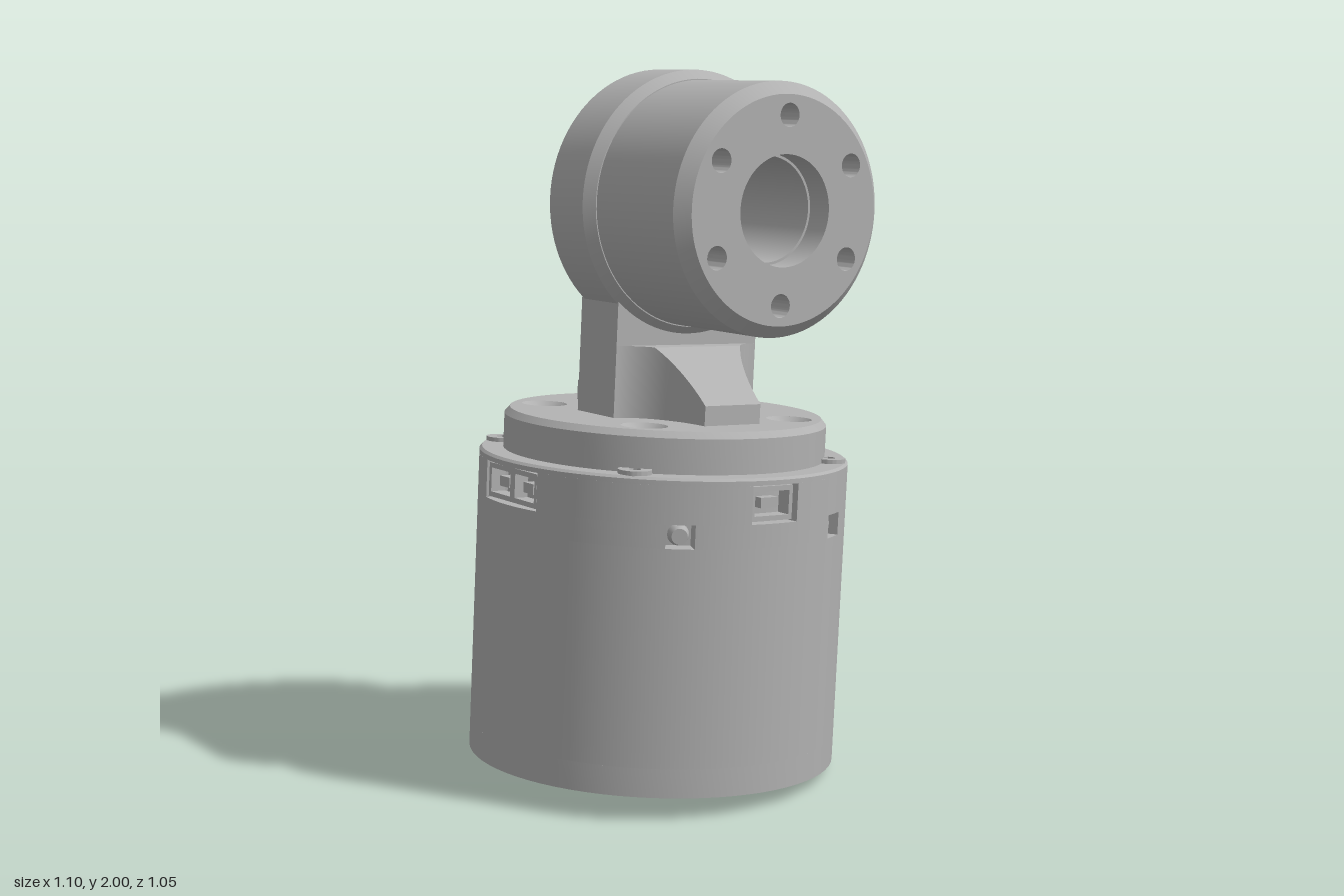
import * as THREE from 'three';
import { toCreasedNormals } from 'three/addons/utils/BufferGeometryUtils.js';

const steel = new THREE.MeshStandardMaterial({ color: 0xb2b2b2 });
steel.name = 'plain grey';
const RAD = Math.PI / 180;

function add(parent, name, geometry, x = 0, y = 0, z = 0) {
  const m = new THREE.Mesh(geometry, steel);
  m.name = name;
  m.position.set(x, y, z);
  parent.add(m);
  return m;
}

// Turned surface; the profile runs up the outside, or down the inside of a hole
function turned(points, segments = 72) {
  const g = new THREE.LatheGeometry(points.map(p => new THREE.Vector2(p[0], p[1])), segments);
  return toCreasedNormals(g, 0.5);
}

function circle(r, x = 0, y = 0) {
  const p = new THREE.Path();
  p.absarc(x, y, r, 0, Math.PI * 2, true);
  return p;
}

const polar = (r, deg) => [r * Math.cos(deg * RAD), r * Math.sin(deg * RAD)];

// Sector of a ring, angles in degrees
function sector(Type, r0, r1, a0, a1) {
  const s = new Type();
  s.absarc(0, 0, r1, a0 * RAD, a1 * RAD, false);
  s.absarc(0, 0, r0, a1 * RAD, a0 * RAD, true);
  s.closePath();
  return s;
}

function extruded(shape, depth, curveSegments = 36) {
  return toCreasedNormals(new THREE.ExtrudeGeometry(shape, { depth, bevelEnabled: false, curveSegments }), 0.5);
}

// Round plate with holes, lying in xy and extruded along +z
function plate(r, holes, depth) {
  const s = new THREE.Shape();
  s.absarc(0, 0, r, 0, Math.PI * 2, false);
  s.holes.push(...holes);
  return extruded(s, depth);
}

// Turns an extrusion so that it hangs down from y = 0
const hang = g => g.rotateX(Math.PI / 2);

// Ring band hanging below yTop, broken by gaps of [centre, half width] degrees
function brokenBand(parent, name, yTop, height, r0, r1, gaps) {
  const sorted = [...gaps].sort((a, b) => a[0] - b[0]);
  sorted.forEach(([c, h], i) => {
    const next = i + 1 < sorted.length ? sorted[i + 1] : [sorted[0][0] + 360, sorted[0][1]];
    add(parent, name, hang(extruded(sector(THREE.Shape, r0, r1, c + h, next[0] - next[1]), height)), 0, yTop, 0);
  });
}

// Socket facing outward at an angle around the body
function connector(parent, deg, w, h, y, cells) {
  const g = new THREE.Group();
  g.name = 'connector';
  const s = new THREE.Shape([[-w, -h], [w, -h], [w, h], [-w, h]].map(p => new THREE.Vector2(p[0] / 2, p[1] / 2)));
  const cw = w / cells;
  for (let i = 0; i < cells; i++) {
    const c = -w / 2 + cw * (i + 0.5), a = cw / 2 - 0.012, b = h / 2 - 0.014;
    s.holes.push(new THREE.Path([[-a, -b], [-a, b], [a, b], [a, -b]].map(p => new THREE.Vector2(c + p[0], p[1]))));
    add(g, 'contactBlock', new THREE.BoxGeometry(cw * 0.4, h * 0.3, 0.035), c, 0, 0.015);
  }
  add(g, 'socketFrame', extruded(s, 0.045));
  const [x, z] = polar(0.462, deg);
  g.position.set(x, y, z);
  g.rotation.y = (90 - deg) * RAD;
  parent.add(g);
}

// Gusset built from sections along z: narrow at the tip, flaring into the post
function gussetGeometry() {
  const y0 = 0.98, rows = [], pos = [];
  const n = 16;
  for (let i = 0; i <= n; i++) {
    const t = (i / n) * Math.PI / 2;
    const z = 0.315 - 0.225 * Math.sin(t);
    const w = 0.242 - 0.147 * Math.cos(t);
    const h = Math.min(1.185, 1.04 + (0.315 - z) * 0.83);
    rows.push([[-w, y0, z], [w, y0, z], [w, h, z], [-w, h, z]]);
  }
  const quad = (a, b, c, d) => pos.push(...a, ...b, ...c, ...a, ...c, ...d);
  quad(...rows[0]);
  for (let i = 0; i < n; i++) {
    const f = rows[i], b = rows[i + 1];
    for (let k = 1; k < 4; k++) {
      const j = (k + 1) % 4;
      quad(f[k], b[k], b[j], f[j]);
    }
  }
  const g = new THREE.BufferGeometry();
  g.setAttribute('position', new THREE.Float32BufferAttribute(pos, 3));
  g.computeVertexNormals();
  return toCreasedNormals(g, 0.4);
}

function buildBody(root) {
  const body = new THREE.Group();
  body.name = 'motorBody';
  root.add(body);

  // Bottom rim with screw holes, and main drum
  const rim = [-8, 8, 60, 120, 172, 188, 240, 300].map(a => circle(0.016, ...polar(0.462, a)));
  add(body, 'bottomRim', hang(plate(0.527, [circle(0.3), ...rim], 0.08)), 0, 0.08, 0);
  add(body, 'drum', turned([[0.02, 0.08], [0.527, 0.08], [0.527, 0.68], [0.46, 0.68]], 96));

  // Output hub: raised ring and pierced plate
  add(body, 'hubRing', turned([[0.275, 0.02], [0.275, -0.03], [0.335, -0.03], [0.345, -0.02], [0.345, 0.01]]));
  const hubHoles = [circle(0.085)];
  for (const a of [45, 165, 285]) {
    hubHoles.push(sector(THREE.Path, 0.125, 0.225, a - 27, a + 27));
    for (const d of [42, 60, 78]) hubHoles.push(circle(d === 60 ? 0.032 : 0.02, ...polar(d === 60 ? 0.185 : 0.235, a + d)));
  }
  add(body, 'hubPlate', hang(plate(0.28, hubHoles, 0.075)), 0, 0.055, 0);

  // Slotted band and connector band around a recessed core
  add(body, 'innerCore', turned([[0.465, 0.66], [0.465, 0.87]]));
  const slots = [28, 60, 120, 240, 300, 332];
  const slotGaps = slots.map(a => [a, 4.3]);
  brokenBand(body, 'slottedBand', 0.745, 0.065, 0.46, 0.527, slotGaps);
  const sockets = [[0, 14.2], [90, 8.4], [180, 14.2]];
  brokenBand(body, 'connectorBand', 0.85, 0.105, 0.46, 0.527, sockets);
  for (const a of slots) {
    const [x, z] = polar(0.485, a);
    const m = add(body, 'slotScrew', new THREE.CylinderGeometry(0.022, 0.03, 0.04, 16), x, 0.71, z);
    m.rotation.set(0, -a * RAD, -Math.PI / 2, 'YXZ');
  }
  connector(body, 0, 0.245, 0.095, 0.797, 2);
  connector(body, 180, 0.245, 0.095, 0.797, 2);
  connector(body, 90, 0.14, 0.095, 0.797, 1);

  // Lip, with cap screws at its four corners
  add(body, 'lip', turned([[0.46, 0.85], [0.527, 0.85], [0.527, 0.863], [0.52, 0.87], [0.44, 0.87]], 96));
  const hex = new THREE.Path();
  for (let i = 0; i < 6; i++) {
    const [x, y] = polar(0.018, -60 * i);
    i ? hex.lineTo(x, y) : hex.moveTo(x, y);
  }
  hex.closePath();
  for (let i = 0; i < 4; i++) {
    const [x, z] = polar(0.475, 45 + 90 * i);
    add(body, 'capScrew', hang(plate(0.046, [hex], 0.02)), x, 0.882, z);
  }

  // Top disc with countersunk screws
  add(body, 'topDisc', turned([[0.46, 0.87], [0.46, 0.967], [0.445, 0.985]]));
  const corners = [45, 135, 225, 315].map(a => polar(0.355, a));
  add(body, 'topFace', hang(plate(0.445, corners.map(c => circle(0.065, ...c)), 0.004)), 0, 0.985, 0);
  for (const [x, z] of corners) {
    add(body, 'countersink', turned([[0.065, 0], [0.033, -0.035], [0.033, -0.07], [0, -0.07]], 32), x, 0.985, z);
    add(body, 'hexStud', new THREE.CylinderGeometry(0.022, 0.022, 0.04, 6), x, 0.94, z);
  }
}

function buildArm(root) {
  const arm = new THREE.Group();
  arm.name = 'arm';
  root.add(arm);

  // Post with a gusset front and back
  add(arm, 'post', new THREE.BoxGeometry(0.484, 0.36, 0.18), 0, 1.15, 0);
  for (const turn of [0, Math.PI]) add(arm, 'gusset', gussetGeometry()).rotation.y = turn;

  // Head: stepped shell, counterbored rear core and front face
  const head = new THREE.Group();
  head.name = 'head';
  head.position.y = 1.582;
  arm.add(head);
  add(head, 'headShell', hang(turned([[0.335, -0.095], [0.355, -0.095], [0.37, -0.078], [0.37, 0.085],
    [0.345, 0.112], [0.342, 0.112], [0.342, 0.465], [0.308, 0.5], [0.304, 0.5]], 96)));
  const ring = r => [30, 90, 150, 210, 270, 330].map(a => circle(r, ...polar(0.253, a)));
  add(head, 'rearCore', plate(0.336, [circle(0.143), ...ring(0.073)], 0.515), 0, 0, -0.095);
  add(head, 'frontFace', plate(0.305, [circle(0.15), ...ring(0.032)], 0.08), 0, 0, 0.42);
}

export function createModel() {
  const model = new THREE.Group();
  model.name = 'actuatorJoint';
  // The whole joint leans slightly to one side
  const lean = new THREE.Group();
  lean.name = 'leaningAssembly';
  lean.position.set(-0.025, 0.05, 0);
  lean.rotation.z = -0.054;
  model.add(lean);
  buildBody(lean);
  buildArm(lean);
  return model;
}
